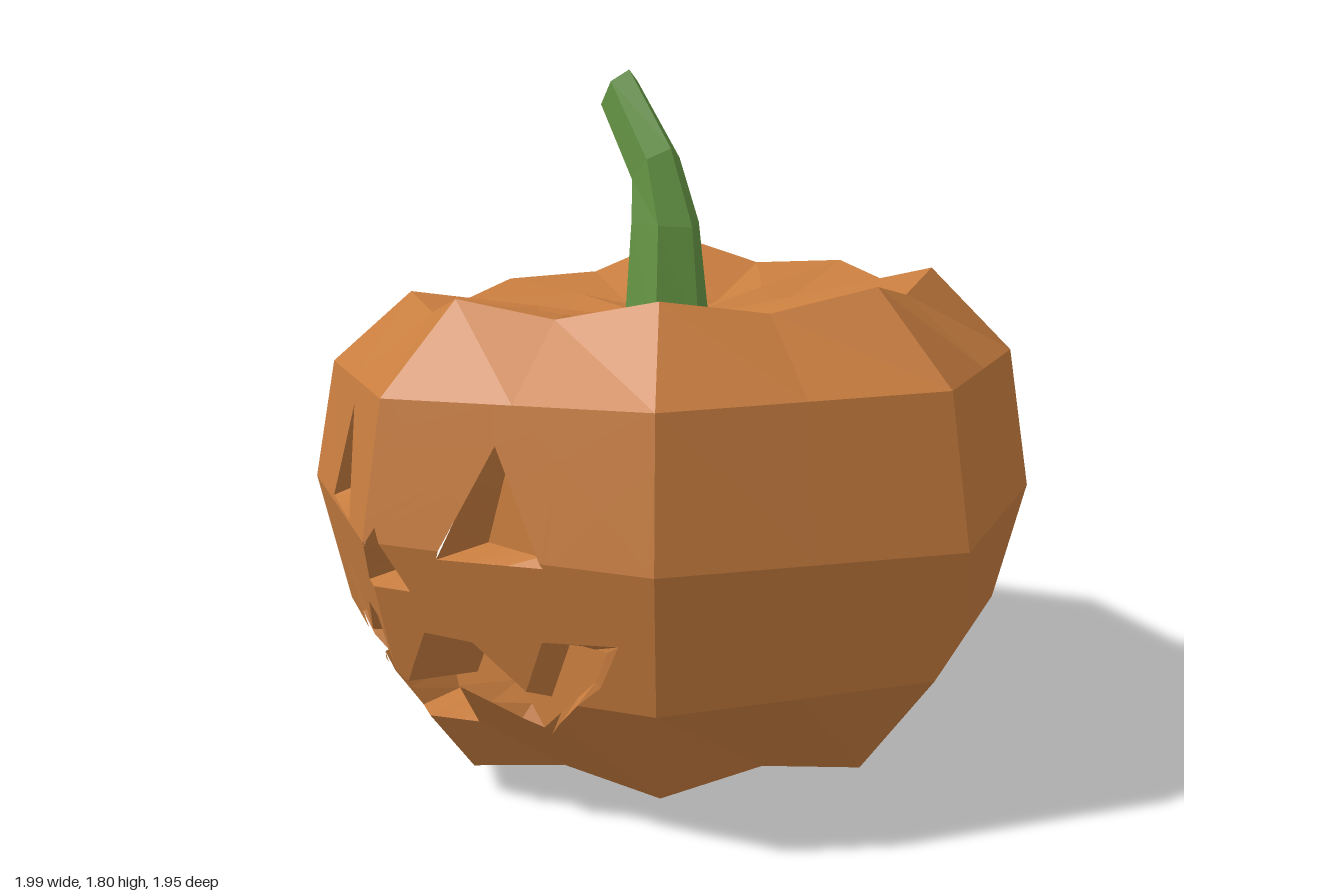
import * as THREE from 'three';

const V2 = (p) => new THREE.Vector2(p[0], p[1]);
const V3 = (x, y, z) => new THREE.Vector3(x, y, z);

// Flat-faced mesh from a list of triangles (three Vector3 each)
function facetMesh(name, tris, material) {
  const g = new THREE.BufferGeometry().setFromPoints(tris.flat());
  g.computeVertexNormals();
  const m = new THREE.Mesh(g, material);
  m.name = name;
  return m;
}

// Eight ribs, counter-clockwise from the front: bulge and shoulder height
const BULGE = [0.985, 0.96, 1.01, 0.99, 0.99, 0.99, 1.01, 0.995];
const SHOULDER = [1.285, 1.31, 1.32, 1.3, 1.257, 1.305, 1.195, 1.23];

// Rings from top to bottom: radius, height, slope in x, slope in z, groove offset
const RINGS = [
  [0, 1.15, 0, 0, 0],
  [0.36, 1.21, 0.07, 0, -0.04],
  [0.7, null, 0, 0, -0.045],
  [0.92, 1.06, 0.053, 0.02, 0],
  [0.985, 0.71, 0.035, 0.04, 0],
  [0.905, 0.37, 0.04, 0.02, 0],
  [0.69, 0.085, 0.03, 0.005, 0.045],
  [0.4, 0.015, 0, 0, 0.05],
  [0, 0.12, 0, 0, 0],
];

// Sixteen points per ring: ribs, with grooves halfway between them
function ringPoints([r, y, sx, sz, groove]) {
  const ribs = BULGE.map((b, i) => {
    const a = (i * Math.PI) / 4, x = r * b * Math.sin(a), z = r * b * Math.cos(a);
    return V3(x, y === null ? SHOULDER[i] : y + sx * x + sz * z, z);
  });
  return ribs.flatMap((p, i) => {
    const mid = p.clone().lerp(ribs[(i + 1) % 8], 0.5);
    mid.y += groove;
    return [p, mid];
  });
}

// Carved openings, counter-clockwise, with the depth of their flat backs
const HOLES = [
  { name: 'rightEye', back: 0.77, pts: [[-0.41, 0.74], [-0.18, 0.745], [-0.29, 1.0]] },
  { name: 'leftEye', back: 0.76, pts: [[0.175, 0.73], [0.425, 0.745], [0.285, 1.0]] },
  { name: 'nose', back: 0.86, pts: [[-0.05, 0.635], [0, 0.635], [0.09, 0.635], [0.025, 0.785], [0, 0.735]] },
  {
    name: 'mouth', back: 0.68,
    pts: [[-0.49, 0.535], [-0.41, 0.405], [-0.24, 0.26], [-0.12, 0.41], [-0.065, 0.265], [0, 0.265],
      [0.11, 0.265], [0.16, 0.4], [0.295, 0.27], [0.5, 0.46], [0.56, 0.575], [0.385, 0.555],
      [0.32, 0.415], [0.215, 0.525], [0.1, 0.53], [0.025, 0.385], [0, 0.415], [-0.08, 0.525],
      [-0.19, 0.52], [-0.28, 0.405], [-0.37, 0.54]],
  },
];

// Outline moved inwards by d
function inset(pts, d) {
  const n = pts.length;
  return pts.map((p, i) => {
    const a = p.clone().sub(pts[(i + n - 1) % n]).normalize();
    const b = pts[(i + 1) % n].clone().sub(p).normalize();
    const m = V2([-a.y - b.y, a.x + b.x]).normalize();
    const c = Math.max(0.45, m.dot(V2([-a.y, a.x])));
    return p.clone().addScaledVector(m, d / c);
  });
}

// Each edge split into three
const split = (pts) => pts.flatMap((p, i) => [0, 1, 2].map((k) => p.clone().lerp(pts[(i + 1) % pts.length], k / 3)));

const side = (a, b, p) => (b.x - a.x) * (p.y - a.y) - (b.y - a.y) * (p.x - a.x);

// Part of a convex polygon inside a counter-clockwise triangle, seen from the front
function clip(poly, tri) {
  for (let e = 0; e < 3; e++) {
    const a = tri[e], b = tri[(e + 1) % 3], out = [];
    poly.forEach((p, i) => {
      const q = poly[(i + 1) % poly.length], sp = side(a, b, p), sq = side(a, b, q);
      if (sp >= 0) out.push(p);
      if (sp * sq < 0) out.push(p.clone().lerp(q, sp / (sp - sq)));
    });
    poly = out;
  }
  return poly;
}

// Point of a triangle's plane straight behind or before p
function lift(p, [a, b, c]) {
  const area = side(a, b, c), u = side(b, c, p) / area, v = side(c, a, p) / area;
  return V3(p.x, p.y, u * a.z + v * b.z + (1 - u - v) * c.z);
}

// Triangulate an outline with holes, all counter-clockwise
function triangulate(outline, holes) {
  const all = [...outline, ...holes.flat()];
  return THREE.ShapeUtils.triangulateShape(outline, holes).map((f) => {
    const t = f.map((i) => all[i]);
    return side(...t) < 0 ? t.reverse() : t;
  });
}

export function createModel() {
  const orange = new THREE.MeshStandardMaterial({ color: 0xc87d3f });
  orange.name = 'orange';
  const green = new THREE.MeshStandardMaterial({ color: 0x649443 });
  green.name = 'green';
  const group = new THREE.Group();
  group.name = 'carvedPumpkin';

  // Ribbed shell; the front panels are kept apart for carving
  const rings = RINGS.map(ringPoints);
  const shell = [], front = [];
  for (let i = 0; i < rings.length - 1; i++) {
    for (let k = 0; k < 16; k++) {
      const n = (k + 1) % 16;
      const a = rings[i][k], b = rings[i + 1][k], c = rings[i + 1][n], d = rings[i][n];
      const target = i >= 3 && i <= 5 && (k >= 14 || k <= 1) ? front : shell;
      if (i < rings.length - 2) target.push([a, b, c]);
      if (i > 0) target.push(i < rings.length - 2 ? [a, c, d] : [a, b, d]);
    }
  }
  group.add(facetMesh('shell', shell, orange));

  // Front panels with the openings cut out
  const outlines = HOLES.map((h) => split(h.pts.map(V2)));
  const sheet = triangulate([[-0.9, -0.1], [0.9, -0.1], [0.9, 1.3], [-0.9, 1.3]].map(V2), outlines);
  const face = [];
  for (const tri of front) {
    for (const piece of sheet) {
      const poly = clip(piece, tri).map((p) => lift(p, tri));
      for (let i = 1; i + 1 < poly.length; i++) face.push([poly[0], poly[i], poly[i + 1]]);
    }
  }
  group.add(facetMesh('carvedFace', face, orange));

  // Tapered walls and flat back of each opening
  const onSurface = (p) => {
    const tri = front.find((t) => t.every((a, e) => side(a, t[(e + 1) % 3], p) >= -1e-6));
    return lift(p, tri);
  };
  HOLES.forEach((hole, h) => {
    const inner = inset(hole.pts.map(V2), 0.018);
    const rim = outlines[h].map(onSurface);
    const back = split(inner).map((p) => V3(p.x, p.y, hole.back));
    const tris = triangulate(inner, []).map((t) => t.map((p) => V3(p.x, p.y, hole.back)));
    rim.forEach((p, i) => {
      const n = (i + 1) % rim.length;
      tris.push([p, rim[n], back[n]], [p, back[n], back[i]]);
    });
    group.add(facetMesh(hole.name, tris, orange));
  });

  // Bent six-sided stem: centre x, y, z, half width, half depth, tilt
  const sections = [
    [0, 1.12, 0.01, 0.125, 0.115, 0],
    [-0.018, 1.42, 0, 0.104, 0.085, -0.1],
    [-0.055, 1.555, 0, 0.08, 0.068, 0.75],
    [-0.2, 1.75, 0, 0.073, 0.055, 0.98],
  ].map(([x, y, z, w, d, tilt]) => Array.from({ length: 6 }, (_, k) => {
    const a = (k * Math.PI) / 3, u = w * Math.sin(a + Math.PI / 6 * 3);
    return V3(x + u * Math.cos(tilt), y + u * Math.sin(tilt), z + d * Math.cos(a + Math.PI / 2));
  }));
  const stem = [];
  for (let k = 0; k < 6; k++) {
    const n = (k + 1) % 6;
    for (let i = 0; i < 3; i++) {
      const lo = sections[i], hi = sections[i + 1];
      stem.push([hi[k], lo[k], lo[n]], [hi[k], lo[n], hi[n]]);
    }
    if (k > 0 && k < 5) stem.push([sections[3][0], sections[3][k], sections[3][n]]);
  }
  group.add(facetMesh('stem', stem, green));

  return group;
}
